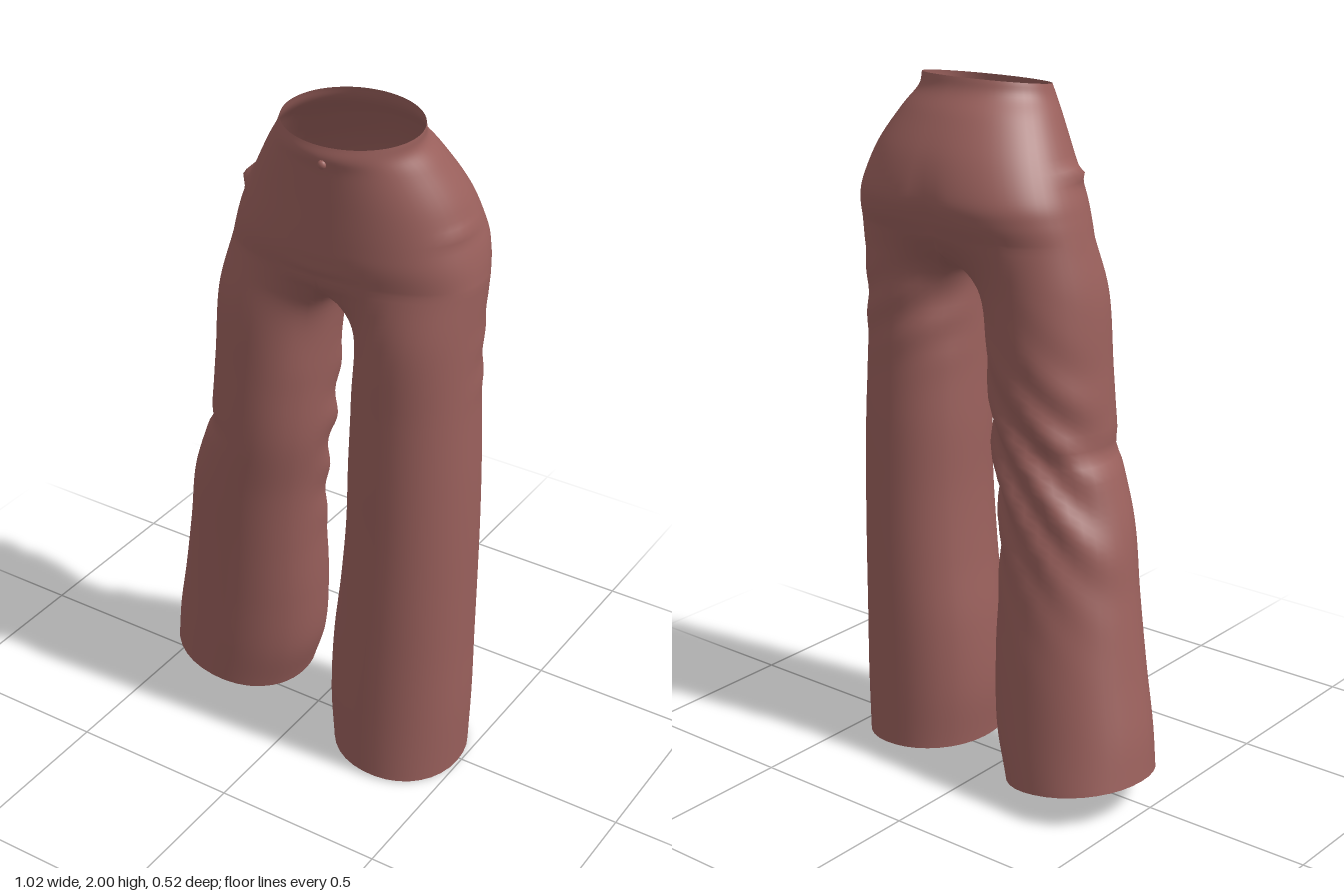
import * as THREE from 'three';
import { mergeVertices } from 'three/addons/utils/BufferGeometryUtils.js';

const OUT = 28, IN = 10; // columns on the outer side and the inner thigh
const spow = (v, e) => Math.sign(v) * Math.abs(v) ** e;
const bell = (d, w) => Math.exp(-(d * d) / (w * w));

// Hip stations: [y, right x, centre x, left x, back z, front z, roundness, front drop]
const HIPS = [
  [2.0, -0.035, 0.16, 0.355, -0.06, 0.24, 1, 0.04],
  [1.96, -0.05, 0.16, 0.36, -0.075, 0.248, 1, 0.03],
  [1.9, -0.085, 0.155, 0.395, -0.12, 0.242, 0.97, 0.01],
  [1.8, -0.14, 0.15, 0.45, -0.178, 0.238, 0.93, 0],
  [1.7, -0.188, 0.14, 0.485, -0.21, 0.236, 0.88, 0],
  [1.64, -0.207, 0.135, 0.5, -0.205, 0.233, 0.86, 0],
  [1.58, -0.222, 0.13, 0.508, -0.182, 0.222, 0.85, 0],
];
const CROTCH_DIP = 0.09;

// Leg stations: [y, outer x, inner x, back z, front z, hem slope in x, hem slope in z]
const LEFT_LEG = [
  [1.42, 0.505, 0.166, -0.136, 0.214],
  [1.2, 0.505, 0.165, -0.14, 0.215],
  [1.0, 0.508, 0.155, -0.155, 0.215],
  [0.8, 0.508, 0.148, -0.165, 0.214],
  [0.6, 0.505, 0.13, -0.175, 0.214],
  [0.4, 0.502, 0.105, -0.183, 0.213],
  [0.2, 0.5, 0.095, -0.188, 0.212],
  [0.017, 0.492, 0.108, -0.19, 0.212, -0.07, -0.02],
];
const RIGHT_LEG = [
  [1.42, -0.258, 0.09, -0.138, 0.214],
  [1.2, -0.276, 0.063, -0.135, 0.214],
  [1.0, -0.302, 0.045, -0.13, 0.21],
  [0.8, -0.373, 0.012, -0.15, 0.195],
  [0.6, -0.412, -0.005, -0.182, 0.178],
  [0.4, -0.455, -0.016, -0.217, 0.163],
  [0.22, -0.493, -0.038, -0.245, 0.152, -0.08],
  [0.08, -0.512, -0.09, -0.268, 0.142, -0.165, -0.03],
];

// Half of a hip ring, from centre front round one side to centre back
function hipRing([y, xr, xc, xl, zb, zf, e, drop], side) {
  const rx = side > 0 ? xl - xc : xc - xr, ring = [];
  for (let i = 0; i <= OUT; i++) {
    const t = (Math.PI * i) / OUT, c = Math.cos(t);
    ring.push(new THREE.Vector3(
      xc + side * rx * spow(i === OUT ? 0 : Math.sin(t), e),
      y - (drop * (1 + c)) / 2,
      (zb + zf) / 2 + ((zf - zb) / 2) * spow(c, e)));
  }
  return ring;
}

// Closed leg ring, starting and ending at the inner front
function legRing([y, xo, xi, zb, zf, sx = 0, sz = 0], side) {
  const cx = (xo + xi) / 2, cz = (zb + zf) / 2, ring = [];
  const a0 = -0.3 * Math.PI, a1 = 1.3 * Math.PI, a2 = 1.7 * Math.PI;
  for (let i = 0; i < OUT + IN; i++) {
    const a = i <= OUT ? a0 + ((a1 - a0) * i) / OUT : a1 + ((a2 - a1) * (i - OUT)) / IN;
    const dx = (side * Math.abs(xo - xi) * spow(Math.sin(a), 0.95)) / 2;
    const dz = ((zf - zb) * spow(Math.cos(a), 0.95)) / 2;
    ring.push(new THREE.Vector3(cx + dx, y + sx * dx + sz * dz, cz + dz));
  }
  return ring;
}

// Smoothly resample a list of stations into denser rows
function densify(rings, sub) {
  const curves = rings[0].map((_, c) => new THREE.CatmullRomCurve3(rings.map(r => r[c]), false, 'catmullrom', 0.5));
  const n = (rings.length - 1) * sub;
  return Array.from({ length: n + 1 }, (_, r) => curves.map(k => k.getPoint(r / n)));
}

function addLoft(rows, closed, side, pos, idx) {
  const base = pos.length / 3, n = rows[0].length;
  rows.forEach(row => row.forEach(p => pos.push(p.x, p.y, p.z)));
  for (let r = 0; r < rows.length - 1; r++) {
    for (let c = 0; c < (closed ? n : n - 1); c++) {
      const a = base + r * n + c, b = base + r * n + ((c + 1) % n), d = a + n, e = b + n;
      if (side > 0) idx.push(a, d, b, b, d, e);
      else idx.push(a, b, d, b, e, d);
    }
  }
}

// Cloth folds: how far a point moves along its normal
function fold(x, y, z, nz) {
  let d = 0;
  const back = THREE.MathUtils.smoothstep(-nz, -0.3, 0.8);
  if (x < 0.1 && y < 1.45) { // diagonal folds behind the right knee
    d += 0.011 * back * bell(y - 0.95, 0.25) * Math.sin(40 * (y - 1.1 * x));
    d -= 0.012 * bell(y - 1.0, 0.03) * bell(x + 0.3, 0.08);
  }
  if (x > 0.1 && y < 1.5) d += 0.004 * back * bell(y - 1.35, 0.12) * Math.sin(45 * (y + 0.6 * x));
  if (y > 1.5) {
    d -= 0.012 * back * bell(x - 0.135, 0.03) * bell(y - 1.66, 0.1); // seat cleft
    d += 0.02 * bell(x + 0.15, 0.025) * bell(y - 1.75, 0.018) * bell(z - 0.08, 0.06); // pocket pucker
    d += 0.006 * bell(y - 1.73, 0.015) * bell(x - 0.47, 0.04) * bell(z - 0.07, 0.08);
    if (nz > 0) d += 0.004 * bell(x - 0.14, 0.08) * bell(y - 1.57, 0.05) * Math.sin(110 * y);
  }
  return d;
}

function trouserGeometry() {
  const pos = [], idx = [];
  for (const [side, leg] of [[1, LEFT_LEG], [-1, RIGHT_LEG]]) {
    const hips = HIPS.map(h => hipRing(h, side));
    addLoft(densify(hips, 6), false, side, pos, idx);
    // Close the lowest hip ring with the curved crotch seam
    const [y, , xc, , zb, zf] = HIPS[HIPS.length - 1];
    const top = hips[hips.length - 1].slice();
    for (let k = 1; k < IN; k++) {
      const t = (Math.PI * k) / IN;
      top.push(new THREE.Vector3(xc, y - CROTCH_DIP * Math.sin(t), (zb + zf) / 2 - ((zf - zb) / 2) * Math.cos(t)));
    }
    // the leg ring's last column meets the seam next to its start
    const rings = leg.map(l => legRing(l, side).slice(0, OUT + IN));
    addLoft(densify([top, ...rings], 9), true, side, pos, idx);
  }
  let g = new THREE.BufferGeometry();
  g.setAttribute('position', new THREE.Float32BufferAttribute(pos, 3));
  g.setIndex(idx);
  g = mergeVertices(g, 1e-4);
  g.computeVertexNormals();
  const p = g.attributes.position, n = g.attributes.normal;
  for (let i = 0; i < p.count; i++) {
    const x = p.getX(i), y = p.getY(i), z = p.getZ(i), nz = n.getZ(i);
    const d = fold(x, y, z, nz);
    p.setXYZ(i, x + n.getX(i) * d, y + n.getY(i) * d, z + nz * d);
  }
  g.computeVertexNormals();
  return g;
}

export function createModel() {
  const group = new THREE.Group();
  group.name = 'trousers';
  const cloth = new THREE.MeshStandardMaterial({ color: 0x9a605c, side: THREE.DoubleSide });
  cloth.name = 'dusty red cloth';

  const body = new THREE.Mesh(trouserGeometry(), cloth);
  body.name = 'trouserCloth';
  group.add(body);

  // Small fastening at the front of the waist
  const button = new THREE.Mesh(new THREE.SphereGeometry(0.012, 12, 8), cloth);
  button.name = 'waistButton';
  button.scale.z = 0.8;
  button.position.set(0.17, 1.915, 0.247);
  group.add(button);
  return group;
}
